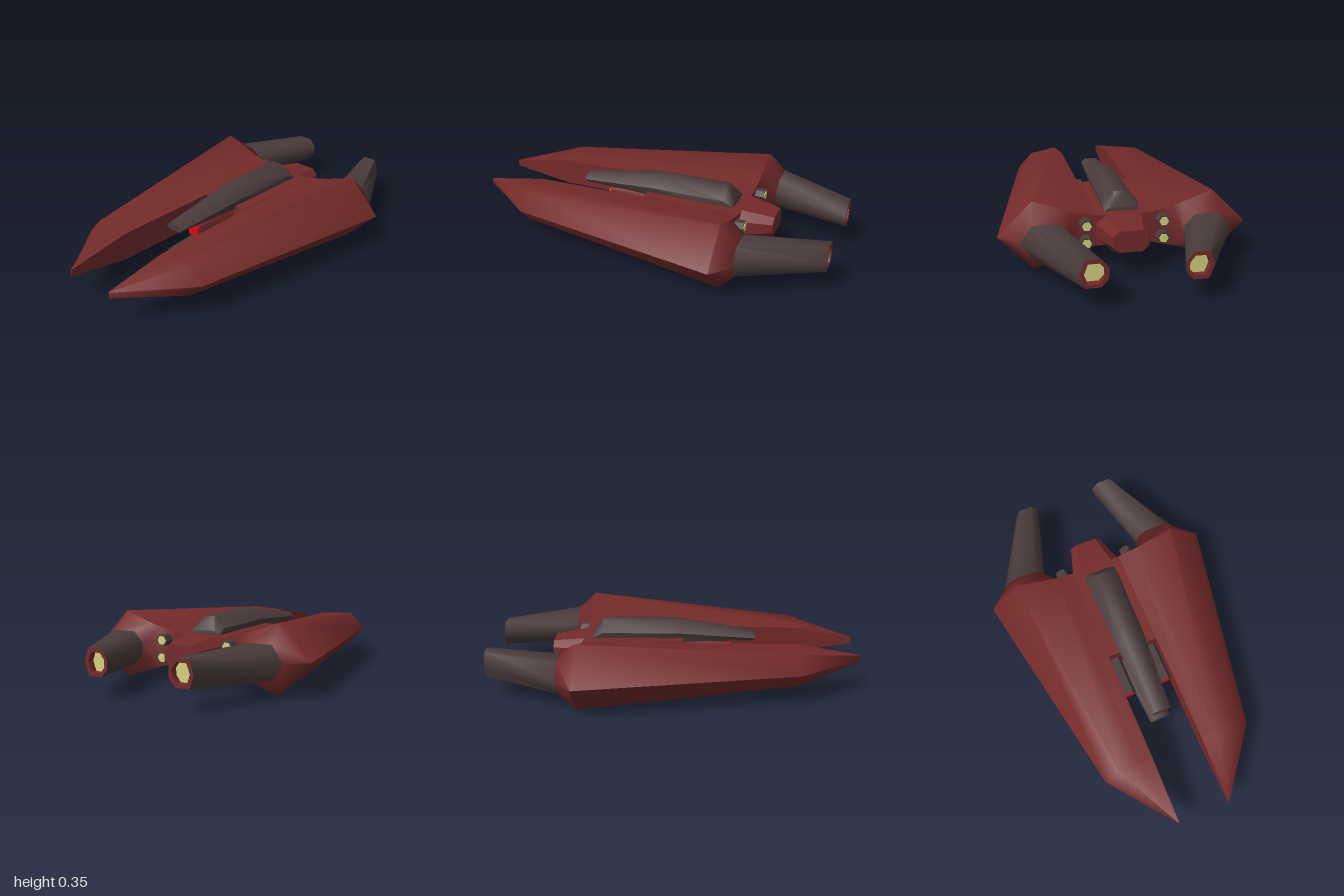
import * as THREE from 'three';
import { toCreasedNormals } from 'three/addons/utils/BufferGeometryUtils.js';

const MID = 0.178; // height of the horizontal symmetry plane
const mat = (color) => new THREE.MeshStandardMaterial({ color, roughness: 0.8 });

// Full ring from its upper half, listed from +x to -x as [x, height above the middle]
const ring = (half) => [...half, ...half.filter((p) => p[1] > 0).reverse().map(([x, y]) => [x, -y])];

// Skin over rings [z, points] from front to back; sx / sy mirror the result
function loft(sections, { sx = 1, sy = 1, y = 0, front = true, back = true } = {}, crease = 1.2) {
  const rings = sections.map(([z, pts]) => {
    const r = pts.map((p) => new THREE.Vector3(p[0] * sx, MID + y + p[1] * sy, z));
    return sx * sy < 0 ? r.reverse() : r;
  });
  const out = [];
  const tri = (a, b, c) => {
    if (new THREE.Triangle(a, b, c).getArea() < 1e-8) return;
    for (const v of [a, b, c]) out.push(v.x, v.y, v.z);
  };
  const centre = (r) => r.reduce((s, v) => s.add(v), new THREE.Vector3()).divideScalar(r.length);
  const n = rings[0].length;
  const first = rings[0], last = rings[rings.length - 1];
  const c0 = centre(first), c1 = centre(last);
  for (let j = 0; j < n; j++) {
    const k = (j + 1) % n;
    for (let i = 0; i + 1 < rings.length; i++) {
      const a = rings[i], b = rings[i + 1];
      tri(a[j], b[j], a[k]);
      tri(a[k], b[j], b[k]);
    }
    if (front) tri(c0, first[j], first[k]);
    if (back) tri(c1, last[k], last[j]);
  }
  const g = new THREE.BufferGeometry();
  g.setAttribute('position', new THREE.Float32BufferAttribute(out, 3));
  return toCreasedNormals(g, crease);
}

// Ring shrunk towards its own middle
function shrink(pts, f) {
  const cx = pts.reduce((s, p) => s + p[0], 0) / pts.length;
  return pts.map(([x, y]) => [cx + (x - cx) * f, y * f]);
}
const hexagon = (cx, w, h) => ring([[cx + w, 0], [cx + w * 0.5, h], [cx - w * 0.5, h], [cx - w, 0]]);

export function createModel() {
  const model = new THREE.Group();
  const red = mat(0x742a2a), dark = mat(0x4a3b3b), lens = mat(0xd80c10), glow = mat(0xd6d080);
  const add = (name, geometry, material, parent = model) => {
    const m = new THREE.Mesh(geometry, material);
    m.name = name;
    parent.add(m);
  };

  // Central hull between the prongs, with tapered tail
  const block = ring([[0.14, 0.08], [-0.14, 0.08]]);
  add('centralHull', loft([[0.04, block], [-0.5, block]], {}, 0.5), red);
  const tail = (w, t, h) => ring([[w, h * 0.45], [t, h], [-t, h], [-w, h * 0.45]]);
  add('tail', loft([[-0.45, tail(0.14, 0.09, 0.08)], [-0.5, tail(0.14, 0.09, 0.08)],
    [-0.67, tail(0.09, 0.06, 0.055)]], {}, 0.6), red);

  // Nose housing with its square lens
  const square = (w, h) => ring([[w, h * 0.7], [w * 0.8, h], [-w * 0.8, h], [-w, h * 0.7]]);
  add('nose', loft([[0.28, square(0.04, 0.04)], [0.04, square(0.06, 0.065)]], {}, 0.6), red);
  add('noseLens', loft([[0.295, square(0.032, 0.028)], [0.27, square(0.032, 0.028)]], {}, 0.6), lens);

  // Dark spines above and below
  const spine = (b, y0, m, ym, t, yt) => [[b, y0], [m, ym], [t, yt], [-t, yt], [-m, ym], [-b, y0]];
  const spineSections = [
    [0.43, spine(0.035, 0.057, 0.055, 0.075, 0.03, 0.097)],
    [0, spine(0.075, 0.06, 0.083, 0.11, 0.03, 0.167)],
    [-0.4, spine(0.085, 0.06, 0.09, 0.11, 0.03, 0.167)],
    [-0.45, spine(0.085, 0.06, 0.09, 0.08, 0.06, 0.1)],
  ];
  for (const sy of [1, -1]) add(sy > 0 ? 'upperSpine' : 'lowerSpine', loft(spineSections, { sy }, 0.9), dark);

  const prong = [
    [0.99, ring([[0.148, 0], [0.146, 0.016], [0.143, 0.018], [0.14, 0.018]])],
    [0.65, ring([[0.41, 0], [0.33, 0.085], [0.22, 0.079], [0.14, 0.074]])],
    [-0.5, ring([[0.63, 0], [0.455, 0.177], [0.24, 0.102], [0.14, 0.08]])],
    [-0.5, ring([[0.63, 0], [0.455, 0.177], [0.3, 0.122], [0.25, 0.1]])],
    [-0.59, ring([[0.53, 0], [0.47, 0.085], [0.34, 0.085], [0.29, 0.03]])],
  ];
  const pipeFront = prong[4][1];
  const pipeEnd = ring([[0.31, 0], [0.285, 0.067], [0.21, 0.067], [0.175, 0.025]]);
  const pipeHole = shrink(pipeEnd, 0.72);

  for (const sx of [1, -1]) {
    const side = new THREE.Group();
    side.name = sx > 0 ? 'leftSide' : 'rightSide';
    model.add(side);
    add('prong', loft(prong, { sx }), red, side);

    // Long exhaust pipe, recessed and lit at the end
    add('exhaustPipe', loft([[-0.585, pipeFront], [-1, pipeEnd]], { sx, back: false }), dark, side);
    add('exhaustRim', loft([[-1, pipeEnd], [-1, pipeHole], [-0.96, pipeHole]],
      { sx, front: false, back: false }, 0.7), red, side);
    add('exhaustGlow', loft([[-0.95, pipeHole], [-0.965, pipeHole]], { sx }, 0.7), glow, side);

    // Small gun pod beside the nose
    const pod = hexagon(0.105, 0.032, 0.024);
    add('gunPod', loft([[0.26, pod], [0.03, pod]], { sx }, 0.7), dark, side);
    add('gunLens', loft([[0.264, shrink(pod, 0.85)], [0.25, shrink(pod, 0.85)]], { sx }, 0.7), lens, side);

    // Pair of small thrusters on the rear wall
    for (const y of [0.045, -0.045]) {
      const nozzle = hexagon(0.195, 0.033, 0.028);
      add('thruster', loft([[-0.45, nozzle], [-0.55, nozzle]], { sx, y }, 0.7), dark, side);
      add('thrusterGlow', loft([[-0.54, shrink(nozzle, 0.75)], [-0.553, shrink(nozzle, 0.75)]],
        { sx, y }, 0.7), glow, side);
    }
  }
  return model;
}
